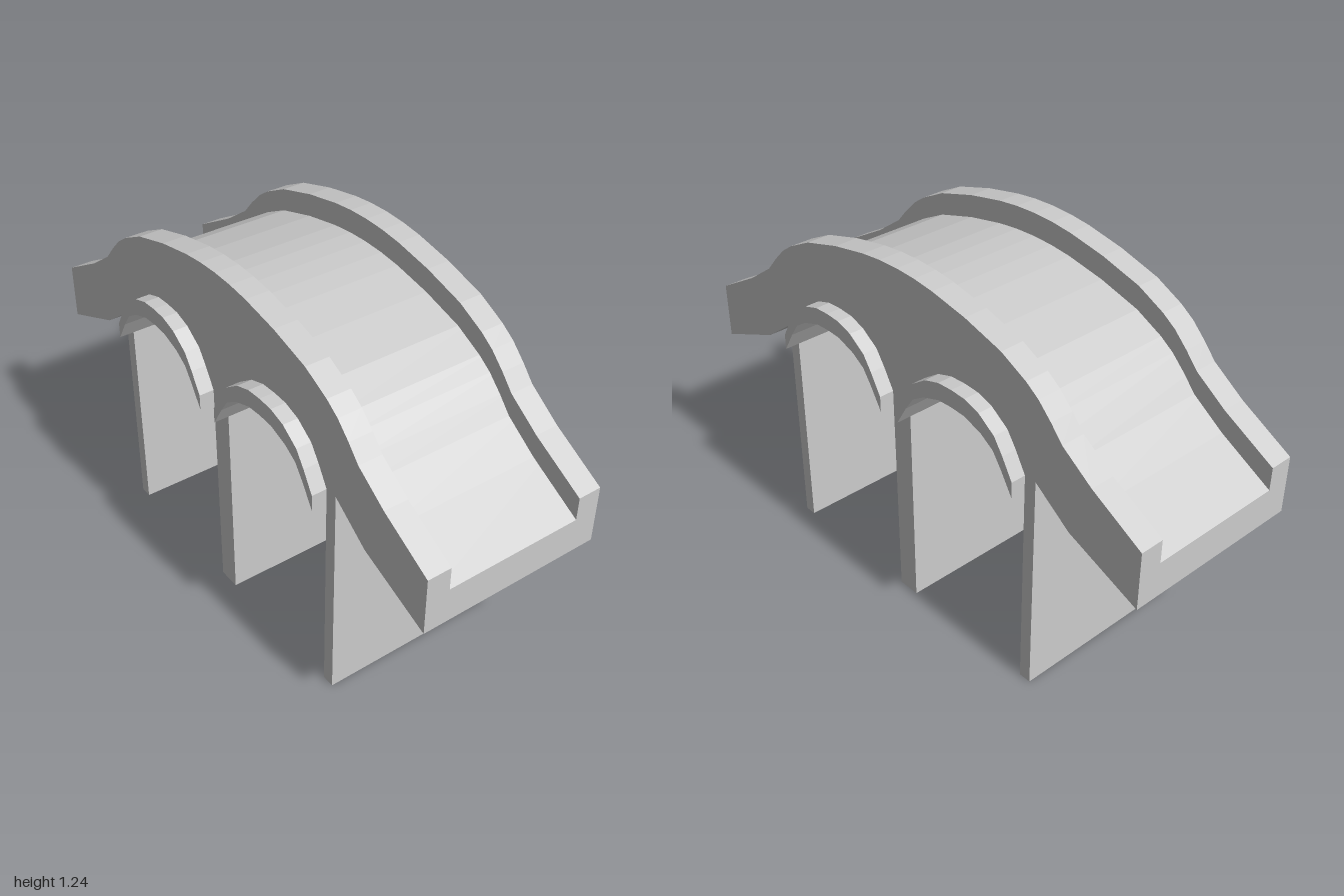
import * as THREE from 'three';

const material = new THREE.MeshStandardMaterial({ color: 0xcccccc });

// Half profiles, from the middle outwards
const crest = [[0, 1.237], [0.08, 1.234], [0.16, 1.225], [0.3, 1.198], [0.45, 1.155], [0.55, 1.105],
  [0.6, 1.07], [0.65, 1.02], [0.695, 0.968], [0.81, 0.887], [1, 0.78]];
const archOuter = [[0.257, 0.79], [0.217, 0.86], [0.182, 0.912], [0.117, 0.957], [0.057, 0.976], [0, 0.979]];
const archInner = [[0.257, 0.735], [0.212, 0.81], [0.177, 0.86], [0.127, 0.892], [0.057, 0.916], [0, 0.919]];
const archX = 0.298, roadDrop = 0.08, halfWidth = 0.323, parapetInside = 0.24, ringHalf = 0.375;

const flip = (pts) => pts.map(([x, y]) => [-x, y]).reverse();
const shift = (pts, dx, dy = 0) => pts.map(([x, y]) => [x + dx, y + dy]);
// Half profile running outwards -> full left-to-right curve
const fullCrest = (dy) => shift([...flip(crest), ...crest.slice(1)], 0, dy);
// Arch curve, left to right
const fullArch = (pts, cx) => shift([...flip(pts).reverse(), ...[...pts].reverse().slice(1)], cx);

function slab(name, pts, z0, z1) {
  const shape = new THREE.Shape(pts.map(([x, y]) => new THREE.Vector2(x, y)));
  const geometry = new THREE.ExtrudeGeometry(shape, { depth: z1 - z0, bevelEnabled: false });
  geometry.translate(0, 0, z0);
  const mesh = new THREE.Mesh(geometry, material);
  mesh.name = name;
  return mesh;
}

export function createModel() {
  const group = new THREE.Group();
  group.name = 'archBridge';

  // Deck, piers and arch openings in one outline
  const rightUnderside = [[0.04, 0], ...fullArch(archOuter, archX), [0.555, 0], [0.598, 0],
    [0.598, 0.79], [0.735, 0.69], [1, 0.58]];
  const underside = [...flip(rightUnderside), ...rightUnderside];
  group.add(slab('deckAndPiers', [...underside, ...fullCrest(-roadDrop).reverse()], -halfWidth, halfWidth));

  // Parapets along both road edges
  const parapet = [...fullCrest(-roadDrop), ...fullCrest(0).reverse()];
  group.add(slab('frontParapet', parapet, parapetInside, halfWidth));
  group.add(slab('backParapet', parapet, -halfWidth, -parapetInside));

  // Arch linings that stand proud of both faces
  for (const [name, cx] of [['leftArchLining', archX], ['rightArchLining', -archX]]) {
    const ring = [...fullArch(archInner, cx), ...fullArch(archOuter, cx).reverse()];
    group.add(slab(name, ring, -ringHalf, ringHalf));
  }
  return group;
}
